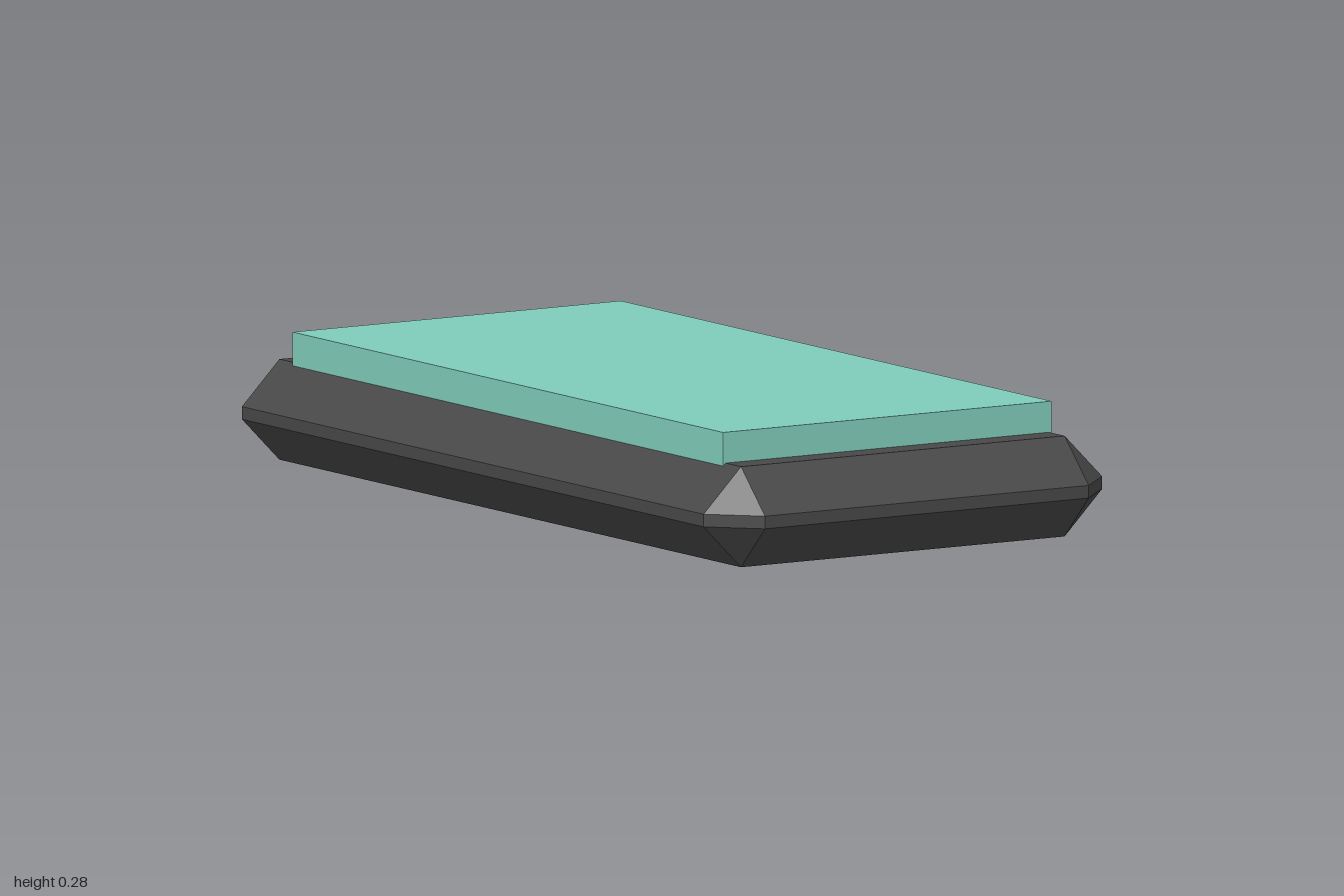
import * as THREE from 'three';
import { ConvexGeometry } from 'three/addons/geometries/ConvexGeometry.js';

// Box with every edge and corner chamfered, standing on y = 0
function chamferedBox(width, height, depth, bevel) {
  const x = width / 2, z = depth / 2;
  const points = [];
  for (const sx of [-1, 1]) for (const sz of [-1, 1]) for (const top of [false, true]) {
    const outerY = top ? height : 0;
    const innerY = top ? height - bevel : bevel;
    points.push(
      new THREE.Vector3(sx * (x - bevel), outerY, sz * (z - bevel)),
      new THREE.Vector3(sx * x, innerY, sz * (z - bevel)),
      new THREE.Vector3(sx * (x - bevel), innerY, sz * z),
    );
  }
  return new ConvexGeometry(points);
}

export function createModel() {
  const group = new THREE.Group();

  const casing = new THREE.MeshStandardMaterial({ color: 0x484848 });
  casing.name = 'dark grey casing';
  const glass = new THREE.MeshStandardMaterial({ color: 0x7fcbba });
  glass.name = 'teal screen';

  // Dark bevelled body
  const body = new THREE.Mesh(chamferedBox(1, 0.215, 2, 0.094), casing);
  body.name = 'body';
  group.add(body);

  // Raised screen slab, sunk slightly into the body
  const screen = new THREE.Mesh(new THREE.BoxGeometry(0.824, 0.082, 1.69), glass);
  screen.name = 'screen';
  screen.position.y = 0.24;
  group.add(screen);

  return group;
}
